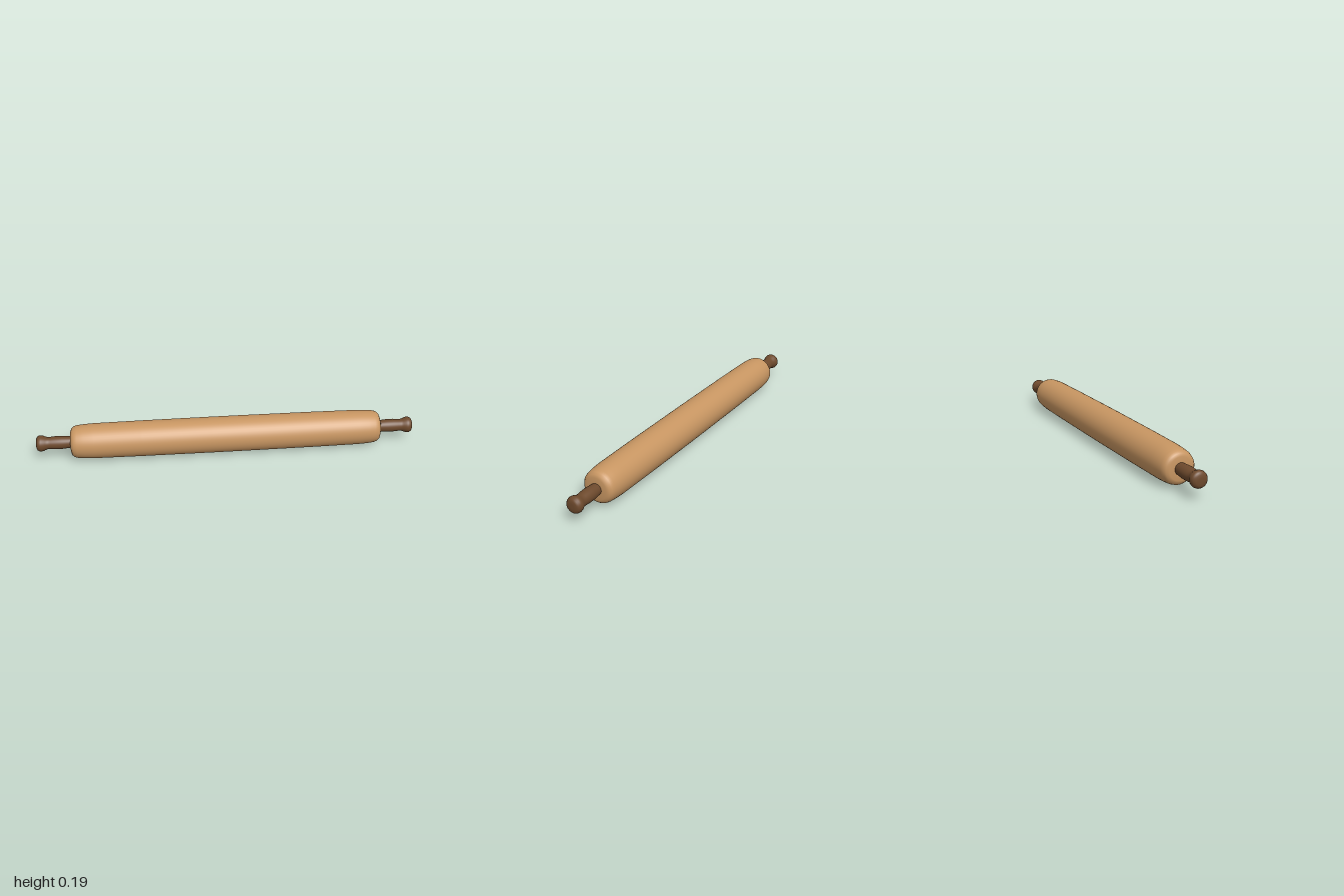
import * as THREE from 'three';

const AXIS_Y = 0.095;

// Smooth turned part from [radius, position along the axis] pairs
function turned(name, profile, material) {
  const points = profile.map(([r, t]) => new THREE.Vector2(r, t));
  const mesh = new THREE.Mesh(new THREE.LatheGeometry(points, 48), material);
  mesh.name = name;
  return mesh;
}

export function createModel() {
  const paleWood = new THREE.MeshStandardMaterial({ color: 0xc89662 });
  paleWood.name = 'pale wood';
  const darkWood = new THREE.MeshStandardMaterial({ color: 0x6e4a2d });
  darkWood.name = 'dark wood';

  const model = new THREE.Group();
  model.name = 'rollingPin';

  // Barrel: gently swelling, with rounded shoulders at both ends
  const half = [
    [0.095, 0.08], [0.0945, 0.25], [0.094, 0.45], [0.092, 0.7], [0.0895, 0.75],
    [0.086, 0.785], [0.081, 0.803], [0.072, 0.814], [0.058, 0.82], [0.03, 0.821], [0, 0.821],
  ];
  const otherHalf = half.map(([r, t]) => [r, -t]).reverse();
  const barrel = turned('barrel', [...otherHalf, ...half], paleWood);
  barrel.rotation.z = -Math.PI / 2;
  barrel.position.y = AXIS_Y;
  model.add(barrel);

  // Handles: slim grip flaring into a rounded end knob
  const grip = [
    [0.029, 0.8], [0.031, 0.83], [0.034, 0.865], [0.034, 0.9], [0.032, 0.925],
    [0.0315, 0.94], [0.035, 0.952], [0.04, 0.963], [0.0425, 0.974], [0.041, 0.985],
    [0.036, 0.994], [0.026, 0.999], [0.012, 1], [0, 1],
  ];
  for (const [name, side] of [['leftHandle', 1], ['rightHandle', -1]]) {
    const handle = turned(name, grip, darkWood);
    handle.rotation.z = -side * Math.PI / 2;
    handle.position.y = AXIS_Y;
    model.add(handle);
  }
  return model;
}
